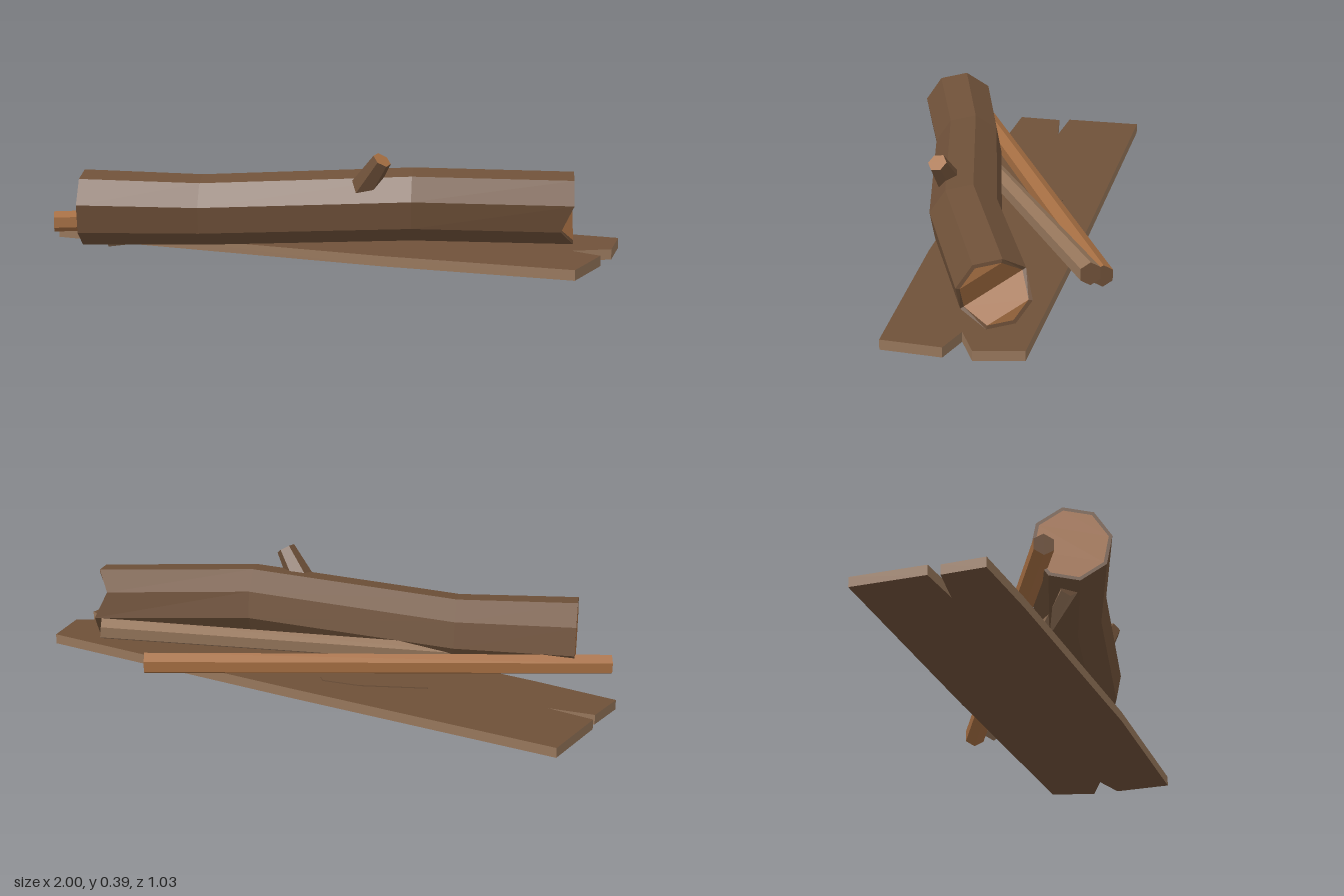
import * as THREE from 'three';

const mat = (name, color) => {
  const m = new THREE.MeshStandardMaterial({ color, flatShading: true });
  m.name = name;
  return m;
};

export function createModel() {
  const bark = mat('bark', 0x6f5139);
  const paleWood = mat('paleWood', 0x96765b);
  const orangeWood = mat('orangeWood', 0xa56e42);
  const model = new THREE.Group();
  const add = (name, geo, material, parent = model) => {
    const mesh = new THREE.Mesh(geo, material);
    mesh.name = name;
    parent.add(mesh);
    return mesh;
  };
  const facets = (tris) => {
    const g = new THREE.BufferGeometry().setFromPoints(tris);
    g.computeVertexNormals();
    return g;
  };

  // Warped plank with a split at each end
  const board = (pts, depth, lift) => {
    const shape = new THREE.Shape(pts.map(([x, z]) => new THREE.Vector2(x, -z)));
    const g = new THREE.ExtrudeGeometry(shape, { depth, bevelEnabled: false });
    g.rotateX(-Math.PI / 2);
    const p = g.attributes.position;
    for (let i = 0; i < p.count; i++) p.setY(i, p.getY(i) + lift + 0.011 - 0.054 * p.getZ(i));
    g.computeVertexNormals();
    return g;
  };
  add('plank', board([
    [-1, 0.2], [-0.7, 0.2], [0.3, 0.17], [0.98, 0.115], [0.995, -0.1], [0.88, -0.13],
    [1, -0.2], [0.97, -0.365], [0, -0.33], [-0.99, -0.28], [-1, 0], [-0.83, 0.005], [-0.99, 0.04],
  ], 0.036, 0), [bark, paleWood]);
  add('plankSplinter', board([[-0.41, -0.07], [-0.22, -0.08], [-0.05, -0.19], [-0.07, -0.21], [-0.2, -0.18]],
    0.005, 0.035), bark);

  // Log: eight-sided rings, with an inset ring at each end for the bark rim
  const log = new THREE.Group();
  log.name = 'log';
  model.add(log);
  const side = new THREE.Vector3(0.36, 0, 0.93);
  const axis = new THREE.Vector3(0.93, 0, -0.36);
  const ring = (x, y, z, r, notch = 0) => Array.from({ length: 8 }, (_, k) => {
    const a = (12 + 45 * k) * Math.PI / 180;
    const v = new THREE.Vector3(x, y, z).addScaledVector(side, r * Math.cos(a));
    v.y += r * Math.sin(a);
    return k % 4 === 3 ? v.addScaledVector(axis, -notch) : v;
  });
  const rings = [
    ring(-0.765, 0.16, 0.388, 0.122),
    ring(-0.765, 0.16, 0.388, 0.134),
    ring(-0.37, 0.157, 0.23, 0.125),
    ring(0.35, 0.2, 0.02, 0.127),
    ring(0.85, 0.186, -0.228, 0.126, 0.045),
    ring(0.85, 0.186, -0.228, 0.112, 0.045),
  ];
  const sides = [];
  for (let i = 0; i < 5; i++) {
    for (let k = 0; k < 8; k++) {
      const n = (k + 1) % 8, a = rings[i], b = rings[i + 1];
      sides.push(a[k], b[k], b[n], a[k], b[n], a[n]);
    }
  }
  add('logBark', facets(sides), bark, log);

  // Cut ends, the right one folded along a groove
  const folds = [[0, 1, 2], [0, 2, 3], [0, 3, 7], [7, 3, 4], [7, 4, 6], [6, 4, 5]];
  add('leftCut', facets(folds.flatMap((f) => f.map((k) => rings[0][k]))), orangeWood, log);
  add('rightCut', facets(folds.flatMap(([a, b, c]) => [a, c, b].map((k) => rings[5][k]))), orangeWood, log);

  // Straight tapered pieces between two points
  const rod = (name, from, to, r0, r1, sidesCount, materials, parent) => {
    const a = new THREE.Vector3(...from), b = new THREE.Vector3(...to);
    const dir = b.clone().sub(a);
    const mesh = add(name, new THREE.CylinderGeometry(r1, r0, dir.length(), sidesCount), materials, parent);
    mesh.position.copy(a).add(b).multiplyScalar(0.5);
    mesh.quaternion.setFromUnitVectors(new THREE.Vector3(0, 1, 0), dir.normalize());
    return mesh;
  };
  rod('branchStub', [0.2, 0.25, 0.118], [0.288, 0.366, 0.14], 0.05, 0.034, 6, [bark, orangeWood, bark], log);
  rod('orangeStick', [-0.915, 0.09, 0.355], [0.485, 0.115, -0.495], 0.037, 0.039, 6, [orangeWood, bark, bark]);
  rod('paleStick', [-0.69, 0.052, 0.355], [0.665, 0.208, -0.495], 0.035, 0.039, 6, [paleWood, bark, bark]);

  return model;
}
